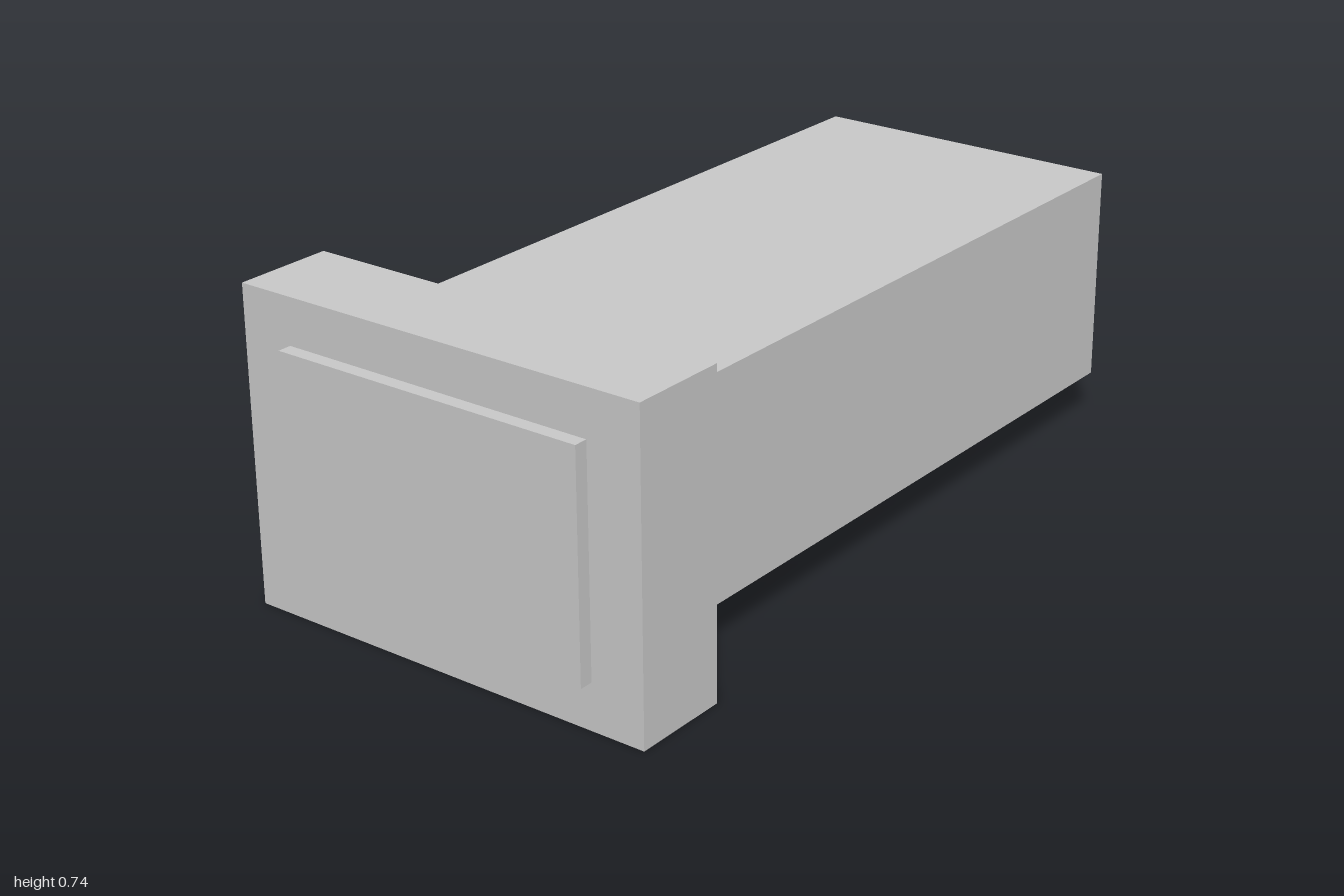
import * as THREE from 'three';

export function createModel() {
  const model = new THREE.Group();
  const grey = new THREE.MeshStandardMaterial({ color: 0xc8c8c8 });
  grey.name = 'light grey';

  // Box centred on x, spanning y0..y1 and z0..z1
  const addBox = (name, width, y0, y1, z0, z1) => {
    const mesh = new THREE.Mesh(new THREE.BoxGeometry(width, y1 - y0, z1 - z0), grey);
    mesh.name = name;
    mesh.position.set(0, (y0 + y1) / 2, (z0 + z1) / 2);
    model.add(mesh);
  };

  // Long bar running through the collar, with a short stub at the front
  addBox('beam', 0.784, 0.11, 0.632, -1, 1);
  // Wide collar around the front end
  addBox('collar', 1.044, 0, 0.741, 0.73, 0.967);

  return model;
}
